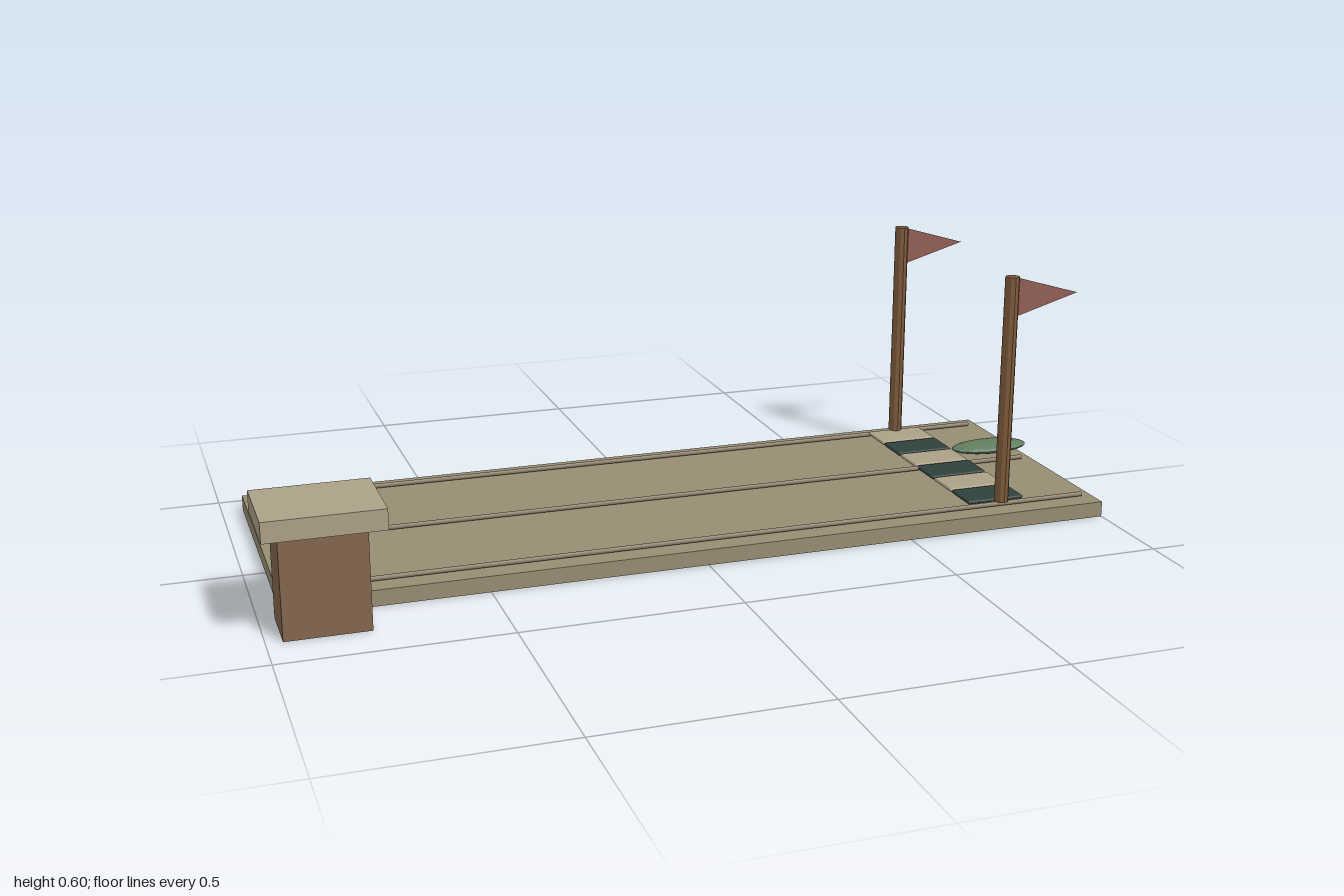
import * as THREE from 'three';
import { RoundedBoxGeometry } from 'three/addons/geometries/RoundedBoxGeometry.js';

const mat = (color, extra = {}) => new THREE.MeshStandardMaterial({ color, ...extra });

export function createModel() {
  const model = new THREE.Group();
  const stone = mat(0x978d73);
  const paleStone = mat(0xaca087);
  const darkTile = mat(0x2f403d);
  const brick = mat(0x84664e);
  const wood = mat(0x7d5b3b, { flatShading: true });
  const cloth = mat(0x925f55, { side: THREE.DoubleSide });
  const leafGreen = mat(0x617d5f, { flatShading: true });
  const rope = mat(0x8a7d66);

  const add = (name, geometry, material, x, y, z) => {
    const mesh = new THREE.Mesh(geometry, material);
    mesh.name = name;
    mesh.position.set(x, y, z);
    model.add(mesh);
    return mesh;
  };

  // Track slab
  add('trackSlab', new THREE.BoxGeometry(1.95, 0.037, 0.7), stone, 0.025, 0.0185, -0.08);

  // Corner pedestal with overhanging cap
  add('pedestal', new THREE.BoxGeometry(0.185, 0.23, 0.132), brick, -0.872, 0.115, 0.329);
  add('pedestalCap', new THREE.BoxGeometry(0.256, 0.046, 0.203), paleStone, -0.872, 0.252, 0.3285);

  // Three lane lines running the length of the track
  for (const z of [-0.377, -0.08, 0.22]) {
    const line = add('laneLine', new THREE.CylinderGeometry(0.006, 0.006, 1.895, 8), rope, 0.0225, 0.044, z);
    line.rotation.z = Math.PI / 2;
  }

  // Chequered finish strip
  for (let i = 0; i < 6; i++) {
    add('finishTile', new RoundedBoxGeometry(0.145, 0.009, 0.09, 2, 0.004),
      i % 2 ? paleStone : darkTile, 0.7525, 0.0457, 0.155 - i * 0.0975);
  }

  // Finish posts and pennants
  const pennant = new THREE.Shape([
    new THREE.Vector2(0, 0.047), new THREE.Vector2(0, -0.047), new THREE.Vector2(0.16, 0),
  ]);
  for (const z of [0.22, -0.376]) {
    add('finishPost', new THREE.CylinderGeometry(0.017, 0.017, 0.546, 10), wood, 0.755, 0.324, z);
    add('pennant', new THREE.ShapeGeometry(pennant), cloth, 0.766, 0.547, z);
  }

  // Flattened oval marker floating beyond the finish
  const oval = add('ovalMarker', new THREE.SphereGeometry(1, 14, 8), leafGreen, 0.876, 0.083, -0.079);
  oval.scale.set(0.102, 0.0145, 0.045);

  return model;
}
